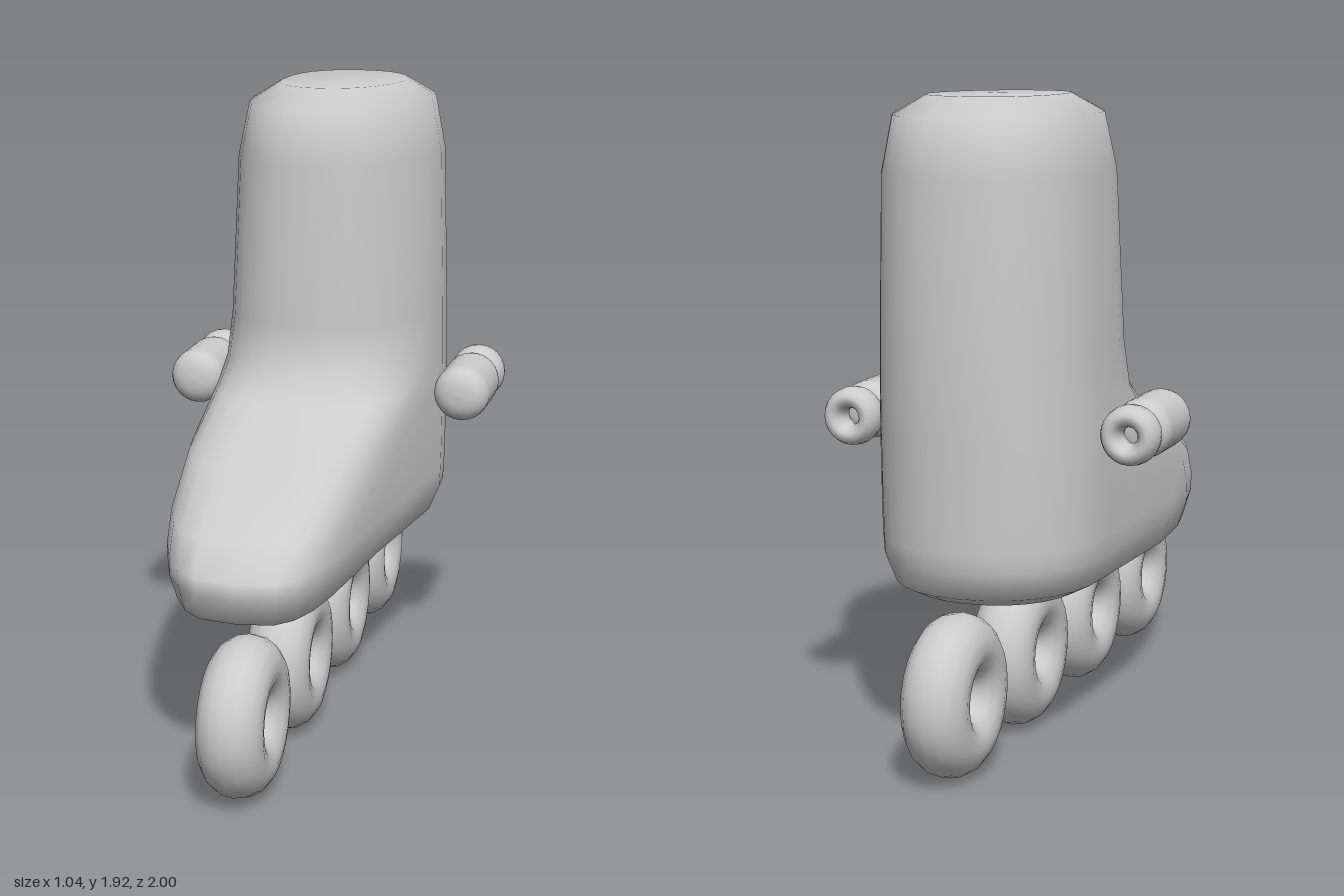
import * as THREE from 'three';

const material = new THREE.MeshStandardMaterial({ color: 0xcccccc, side: THREE.DoubleSide });

function add(parent, name, geometry) {
  const mesh = new THREE.Mesh(geometry, material);
  mesh.name = name;
  parent.add(mesh);
  return mesh;
}

// Boot sections, sole to cuff: height, back z, front z, half width, centre x, front squareness
const SECTIONS = [
  [0.472, -0.58, 0.48, 0.19, 0, 0.6],
  [0.485, -0.68, 0.64, 0.25, 0, 0.6],
  [0.52, -0.76, 0.775, 0.305, -0.01, 0.6],
  [0.6, -0.785, 0.81, 0.335, -0.007, 0.6],
  [0.655, -0.79, 0.815, 0.337, -0.006, 0.6],
  [0.74, -0.79, 0.725, 0.338, -0.005, 0.6],
  [0.86, -0.795, 0.43, 0.338, -0.004, 0.6],
  [0.98, -0.797, 0.1, 0.336, -0.002, 0.68],
  [1.06, -0.8, 0.005, 0.333, 0, 0.78],
  [1.2, -0.8, 0, 0.328, 0.003, 0.88],
  [1.7, -0.8, 0, 0.31, 0.008, 0.92],
  [1.865, -0.76, -0.035, 0.278, 0.01, 0.92],
  [1.92, -0.64, -0.15, 0.19, 0.01, 0.92],
];

// Loft the sections into a closed skin; the forefoot tapers and leans inward
function bootGeometry(sides = 28) {
  const pos = [], index = [];
  for (const [y, back, front, width, cx, p] of SECTIONS) {
    for (let i = 0; i < sides; i++) {
      const a = (i / sides) * Math.PI * 2;
      const c = Math.cos(a), s = Math.sin(a);
      const e = s > 0 ? p : 0.9;
      const mid = -0.4;
      const reach = Math.pow(Math.abs(s), e);
      const z = s > 0 ? mid + (front - mid) * reach : mid + (back - mid) * reach;
      const t = Math.max(0, (z - mid) / 1.2);
      const lean = -0.05 * Math.sin(Math.PI * Math.min(1, t * 0.95));
      const x = cx + lean + Math.sign(c) * Math.pow(Math.abs(c), e) * width * (1 - 0.13 * t);
      pos.push(x, y, z);
    }
  }
  const rows = SECTIONS.length;
  for (let r = 0; r < rows - 1; r++) {
    for (let i = 0; i < sides; i++) {
      const a = r * sides + i, b = r * sides + ((i + 1) % sides);
      index.push(a, a + sides, b, b, a + sides, b + sides);
    }
  }
  // Sole and cuff caps
  const bottom = pos.length / 3, top = bottom + 1, last = (rows - 1) * sides;
  pos.push(0, 0.47, -0.05, 0.01, 1.922, -0.4);
  for (let i = 0; i < sides; i++) {
    const j = (i + 1) % sides;
    index.push(bottom, i, j, top, last + j, last + i);
  }
  const g = new THREE.BufferGeometry();
  g.setAttribute('position', new THREE.Float32BufferAttribute(pos, 3));
  g.setIndex(index);
  g.computeVertexNormals();
  return g;
}

// Round barrel with softly domed ends, along z
function barrelGeometry(radius, length, corner) {
  const pts = [];
  const half = length / 2, steps = 6;
  for (const end of [-1, 1]) {
    for (let i = 0; i <= steps; i++) {
      const a = ((end < 0 ? i : steps - i) / steps) * Math.PI / 2;
      pts.push(new THREE.Vector2(
        i === (end < 0 ? 0 : steps) ? 0 : radius * Math.pow(Math.sin(a), 0.8),
        end * (half - corner + corner * Math.cos(a))));
    }
  }
  return new THREE.LatheGeometry(pts, 24).rotateX(Math.PI / 2);
}

export function createModel() {
  const group = new THREE.Group();
  group.name = 'inlineSkate';

  add(group, 'boot', bootGeometry());

  // Four wheels in a line
  const wheel = new THREE.TorusGeometry(0.143, 0.093, 16, 24)
    .rotateY(Math.PI / 2).scale(1.05, 1, 1);
  [0.765, 0.257, -0.255, -0.764].forEach((z, i) =>
    add(group, `wheel${i + 1}`, wheel).position.set(0, 0.24, z));

  // A small thruster on each side: barrel with a ring nozzle behind it
  const barrel = barrelGeometry(0.088, 0.285, 0.06);
  const nozzle = new THREE.TorusGeometry(0.056, 0.032, 14, 24).scale(1, 1, 1.7);
  for (const side of [1, -1]) {
    const thruster = new THREE.Group();
    thruster.name = side > 0 ? 'leftThruster' : 'rightThruster';
    thruster.position.set(side * 0.432, 0.972, 0);
    add(thruster, 'barrel', barrel).position.z = -0.3;
    add(thruster, 'nozzle', nozzle).position.z = -0.495;
    group.add(thruster);
  }
  return group;
}
